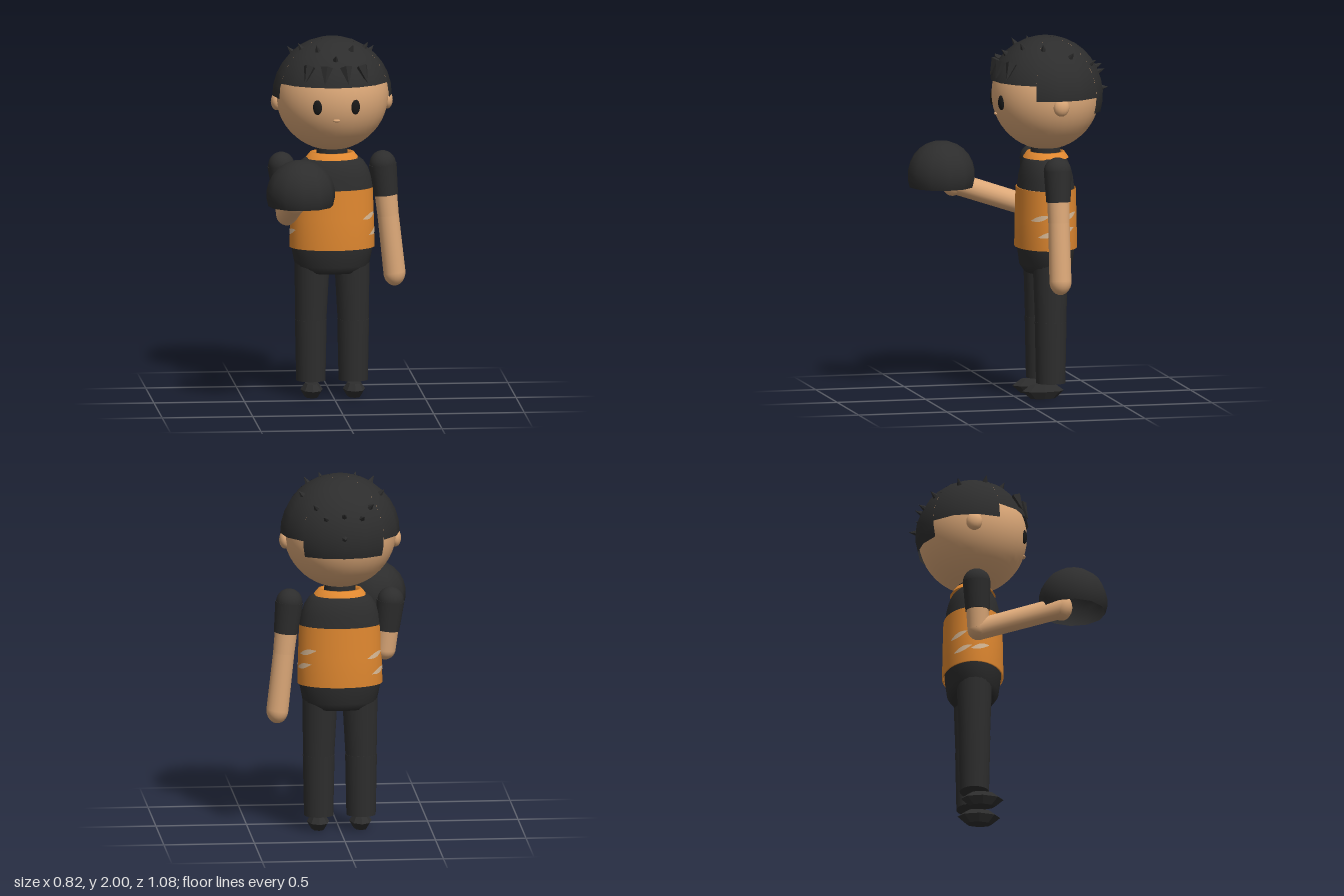
import * as THREE from 'three';

const mat = (name, color, side = THREE.FrontSide) => {
  const m = new THREE.MeshStandardMaterial({ color, side });
  m.name = name;
  return m;
};

export function createModel() {
  const root = new THREE.Group();
  const skin = mat('skin', 0xdca878);
  const black = mat('black cloth', 0x2d2d2d);
  const shell = mat('black hair', 0x2d2d2d, THREE.DoubleSide);
  const orange = mat('orange shirt', 0xe08830, THREE.DoubleSide);
  const pale = mat('pale slash', 0xdcbc98, THREE.DoubleSide);
  const eyeMat = mat('eye black', 0x181818);
  const Z = -0.18; // body axis
  const V = (x, y, z) => new THREE.Vector3(x, y, z);

  const add = (name, geo, material, pos, scale = [1, 1, 1], parent = root) => {
    const m = new THREE.Mesh(geo, material);
    m.name = name;
    m.position.set(...pos);
    m.scale.set(...scale);
    parent.add(m);
    return m;
  };
  const ball = (name, material, pos, scale, seg = 20) =>
    add(name, new THREE.SphereGeometry(1, seg, Math.ceil(seg * 0.7)), material, pos, scale);
  // tapered cylinder between two points
  const limb = (name, material, a, b, ra, rb) => {
    const dir = b.clone().sub(a);
    const m = add(name, new THREE.CylinderGeometry(rb, ra, dir.length(), 20), material,
      a.clone().add(b).multiplyScalar(0.5).toArray());
    m.quaternion.setFromUnitVectors(V(0, 1, 0), dir.normalize());
    return m;
  };
  // lathed profile, flattened in depth
  const turned = (name, material, pts, depth, seg = 32) =>
    add(name, new THREE.LatheGeometry(pts.map(p => new THREE.Vector2(...p)), seg), material, [0, 0, Z], [1, 1, depth]);

  // Torso
  turned('hips', black, [[0, 0.69], [0.165, 0.69], [0.205, 0.73], [0.225, 0.83], [0.225, 0.86]], 0.69);
  turned('shirt', orange, [[0.222, 0.83], [0.235, 0.83], [0.231, 1.0], [0.225, 1.16]], 0.72);
  turned('shoulderYoke', black, [[0.225, 1.16], [0.215, 1.22], [0.198, 1.27], [0.172, 1.31], [0.145, 1.33], [0, 1.335]], 0.68);
  turned('collar', orange, [[0.147, 1.325], [0.12, 1.358], [0.1, 1.358], [0.095, 1.33]], 0.85);
  turned('neck', black, [[0.088, 1.32], [0.085, 1.4]], 0.95);

  // Torn slashes, thin tapered strips wrapped on the shirt
  const slash = (angle, span, y, height, slant) => {
    const pos = [], idx = [], n = 8;
    for (let i = 0; i <= n; i++) {
      const t = i / n, a = angle + (t - 0.5) * span, h = height * Math.sin(Math.PI * t) / 2;
      const cy = y + slant * (t - 0.5);
      for (const yy of [cy - h, cy + h]) {
        const r = 0.237 - 0.03 * (yy - 0.83);
        pos.push(r * Math.cos(a), yy, r * 0.72 * Math.sin(a) + Z);
      }
      if (i < n) idx.push(2 * i, 2 * i + 1, 2 * i + 2, 2 * i + 1, 2 * i + 3, 2 * i + 2);
    }
    const g = new THREE.BufferGeometry();
    g.setAttribute('position', new THREE.Float32BufferAttribute(pos, 3));
    g.setIndex(idx);
    g.computeVertexNormals();
    add('shirtSlash', g, pale, [0, 0, 0]);
  };
  for (const [a, y] of [[0.5, 1.01], [0.25, 0.92], [-0.6, 1.02], [-0.45, 0.94]]) slash(a, 0.65, y, 0.03, -0.03);
  for (const [a, y] of [[0.15, 0.92], [-0.6, 1.0], [-0.45, 0.91]]) slash(Math.PI - a, 0.65, y, 0.03, -0.03);

  // Legs and shoes
  const shoe = new THREE.LatheGeometry(
    [[0, 0], [0.6, 0], [1, 0.042], [0.6, 0.077], [0, 0.077]].map(p => new THREE.Vector2(...p)), 8).toNonIndexed();
  shoe.computeVertexNormals();
  for (const s of [-1, 1]) {
    limb('upperLeg', black, V(s * 0.11, 0.76, Z), V(s * 0.117, 0.42, Z), 0.098, 0.086);
    limb('lowerLeg', black, V(s * 0.117, 0.425, Z), V(s * 0.117, 0.085, Z), 0.088, 0.081);
    add('shoe', shoe, black, [s * 0.117, 0, -0.137], [0.062, 1, 0.118]);
  }

  // Arms: left hangs, right reaches forward
  const arm = (shoulder, elbow, wrist) => {
    const cuff = shoulder.clone().lerp(elbow, 0.6);
    ball('shoulder', black, shoulder.toArray(), [0.073, 0.075, 0.076]);
    limb('sleeve', black, shoulder, cuff, 0.077, 0.067);
    limb('upperArm', skin, cuff, elbow, 0.062, 0.059);
    ball('elbow', skin, elbow.toArray(), [0.059, 0.059, 0.059]);
    limb('forearm', skin, elbow, wrist, 0.059, 0.061);
    ball('hand', skin, wrist.toArray(), [0.061, 0.075, 0.061]);
  };
  arm(V(0.28, 1.285, Z), V(0.31, 1.0, Z), V(0.345, 0.68, Z));
  arm(V(-0.28, 1.285, Z), V(-0.25, 1.01, -0.17), V(-0.24, 1.165, 0.29));

  // Dome held over the right hand
  add('heldDome', new THREE.SphereGeometry(0.19, 12, 8, 0, Math.PI * 2, 0, 1.92), shell, [-0.222, 1.212, 0.357]);

  // Head and face
  ball('head', skin, [0, 1.68, Z], [0.31, 0.31, 0.298], 36);
  ball('mouth', skin, [0, 1.575, 0.1], [0.02, 0.009, 0.012], 12);
  for (const s of [-1, 1]) {
    ball('ear', skin, [s * 0.305, 1.64, -0.195], [0.032, 0.05, 0.045], 14);
    const eye = ball('eye', eyeMat, [s * 0.105, 1.65, 0.096], [0.026, 0.042, 0.014], 16);
    eye.rotation.y = s * 0.35;
  }

  // Hair shell: high in front, lower at the sides, lowest at the nape
  const hc = [0, 1.68, Z], hr = [0.33, 0.32, 0.317], F = 1.16, B = 0.74, S = Math.PI - F - B, H = Math.PI / 2;
  for (const [name, start, len, segs, rings, theta] of [
    ['hairFront', H - F, 2 * F, 6, 7, 1.318],
    ['hairSide', H + F, S, 3, 8, 1.586],
    ['hairSide', H - F - S, S, 3, 8, 1.586],
    ['hairBack', 3 * H - B, 2 * B, 4, 10, 1.875],
  ]) add(name, new THREE.SphereGeometry(1, segs, rings, start, len, 0, theta), shell, hc, hr);

  // Hair spikes
  const spike = (name, base, dir, r, h, seg) => {
    const g = new THREE.ConeGeometry(r, h, seg).toNonIndexed();
    g.computeVertexNormals();
    dir.normalize();
    const m = add(name, g, black, base.clone().addScaledVector(dir, h / 2 - 0.008).toArray());
    m.quaternion.setFromUnitVectors(V(0, 1, 0), dir);
  };
  const surface = (x, y, z) => { // spike standing on the hair
    const n = V((x - hc[0]) / hr[0] ** 2, (y - hc[1]) / hr[1] ** 2, (z - hc[2]) / hr[2] ** 2);
    spike('hairSpike', V(x, y, z), n, 0.018, 0.045, 6);
  };
  const heightAt = (x, z) =>
    hc[1] + hr[1] * Math.sqrt(Math.max(0, 1 - (x / hr[0]) ** 2 - ((z - Z) / hr[2]) ** 2));
  for (const s of [-1, 1])
    for (const [x, z] of [[0.1, -0.455], [0.15, -0.4], [0.215, -0.27], [0.175, -0.125], [0.092, -0.03]])
      surface(s * x, heightAt(x, z), z);
  surface(0, heightAt(0, 0.045), 0.045);
  surface(0, 1.82, -0.465);
  surface(0, 1.7, -0.497);

  // Fringe of downward spikes
  for (const x of [-0.145, -0.055, 0.055, 0.145])
    spike('fringeSpike', V(x, 1.86, heightZ(x)), V(x * 0.25, -0.1, 0.045), 0.036, 0.1, 5);
  function heightZ(x) {
    return Z + hr[2] * Math.sqrt(1 - (x / hr[0]) ** 2 - (0.18 / hr[1]) ** 2) + 0.006;
  }

  return root;
}
